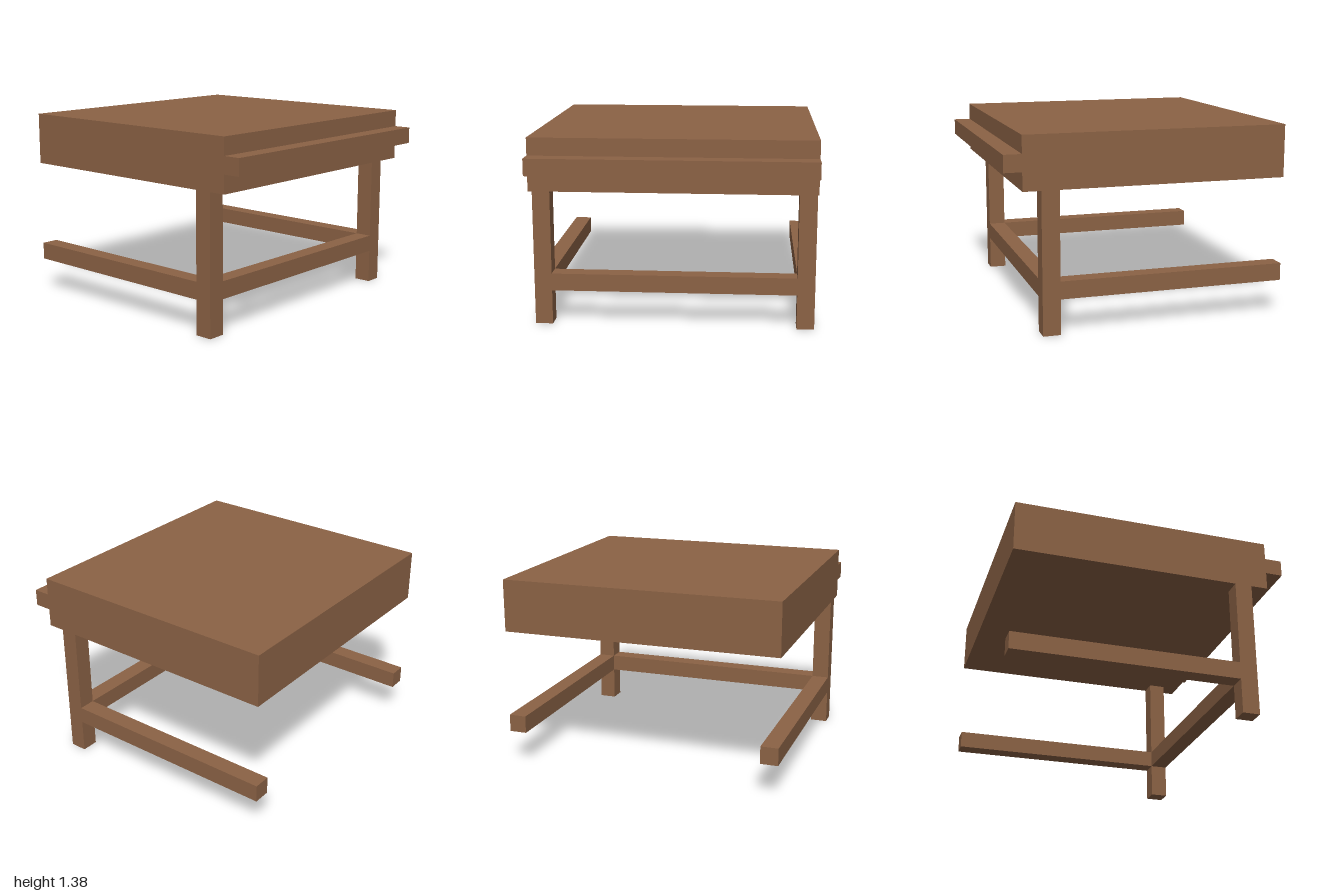
import * as THREE from 'three';

export function createModel() {
  const model = new THREE.Group();
  model.name = 'tableEnd';
  const wood = new THREE.MeshStandardMaterial({ color: 0x8b6245 });
  wood.name = 'brown wood';

  // Box given by its lower and upper corners
  function block(name, [x0, y0, z0], [x1, y1, z1]) {
    const mesh = new THREE.Mesh(new THREE.BoxGeometry(x1 - x0, y1 - y0, z1 - z0), wood);
    mesh.name = name;
    mesh.position.set((x0 + x1) / 2, (y0 + y1) / 2, (z0 + z1) / 2);
    model.add(mesh);
  }

  // Thick top with a narrow ledge along its left end
  block('tableTop', [-1, 1, -1], [0.875, 1.375, 1]);
  block('endLedge', [0.875, 1.13, -1], [1, 1.25, 1]);

  // Legs and long side rails, flush with the front and back
  for (const [side, z] of [['front', 0.875], ['back', -1]]) {
    block(side + 'Leg', [0.625, 0, z], [0.75, 1, z + 0.125]);
    block(side + 'Rail', [-1, 0.25, z], [0.625, 0.375, z + 0.125]);
  }

  // Cross rail joining the legs
  block('crossRail', [0.625, 0.25, -0.875], [0.75, 0.375, 0.875]);

  return model;
}
